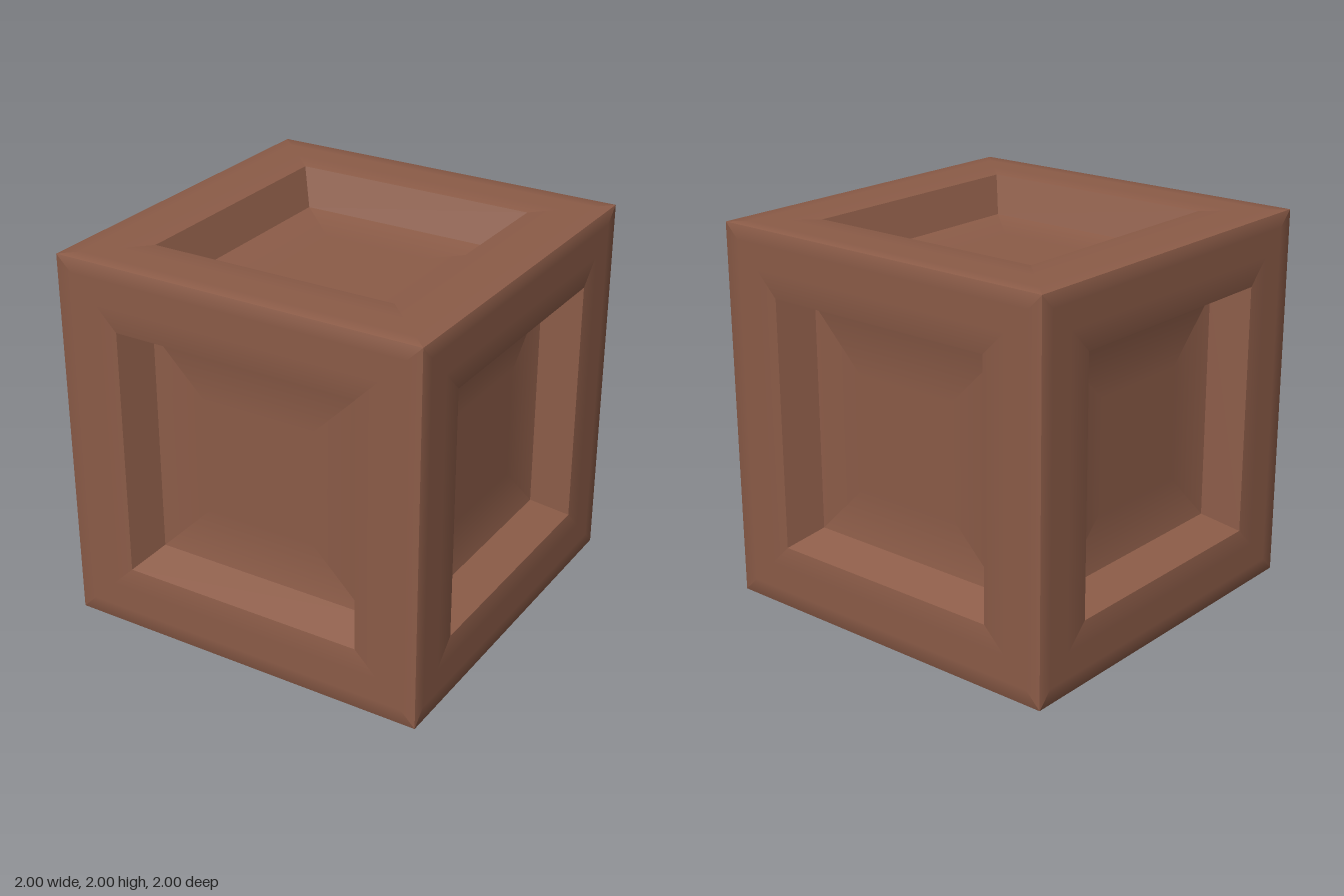
import * as THREE from 'three';

// Four mitred strips between concentric square rings, facing +z.
// Each ring is [half size, z, outward tilt of the normal, forward part of the normal].
function squareRings(rings) {
  const pos = [], nor = [], idx = [];
  for (let side = 0; side < 4; side++) {
    const c = [1, 0, -1, 0][side], s = [0, 1, 0, -1][side];
    const put = (x, y, z, target) => target.push(x * c - y * s, x * s + y * c, z);
    const start = pos.length / 3;
    for (const [h, z, tilt, forward] of rings) {
      const len = Math.hypot(tilt, forward);
      for (const sign of [-1, 1]) {
        put(sign * h, h, z, pos);
        put(0, tilt / len, forward / len, nor);
      }
    }
    for (let i = 0; i < rings.length - 1; i++) {
      const a = start + i * 2;              // outer left, outer right, inner left, inner right
      idx.push(a + 2, a + 1, a);
      if (rings[i + 1][0] > 0) idx.push(a + 2, a + 3, a + 1);
    }
  }
  const g = new THREE.BufferGeometry();
  g.setAttribute('position', new THREE.Float32BufferAttribute(pos, 3));
  g.setAttribute('normal', new THREE.Float32BufferAttribute(nor, 3));
  g.setIndex(idx);
  return g;
}

export function createModel() {
  const crate = new THREE.Group();
  crate.name = 'crate';
  const wood = new THREE.MeshStandardMaterial({ color: 0x8c5c48 });
  wood.name = 'brown wood';

  const OPEN = 0.665, FLOOR = 0.6, DEPTH = 0.8;   // recess opening, panel size, panel plane
  const parts = {
    // flat border with softly shaded edges
    frame: squareRings([[1, 1, 0.3, 1], [0.92, 1, 0, 1], [0.79, 1, 0, 1], [OPEN, 1, -0.15, 1]]),
    // sloping recess walls
    recessWalls: squareRings([[OPEN, 1, -0.2, 0.08], [FLOOR, DEPTH, -0.2, 0.08]]),
    // sunken panel
    panel: squareRings([[FLOOR, DEPTH, -0.2, 1], [0.3, DEPTH, 0, 1], [0, DEPTH, 0, 1]]),
  };
  const base = squareRings([[1, 1, 0.2, 1], [0.5, 1, 0, 1], [0, 1, 0, 1]]);

  const addSide = (name, geometries, rx, ry) => {
    const side = new THREE.Group();
    side.name = name;
    for (const [part, geometry] of Object.entries(geometries)) {
      const mesh = new THREE.Mesh(geometry, wood);
      mesh.name = part;
      side.add(mesh);
    }
    side.rotation.set(rx, ry, 0);
    side.position.y = 1;
    crate.add(side);
  };

  // Four walls and lid are panelled, the underside is plain
  ['frontSide', 'leftSide', 'backSide', 'rightSide'].forEach((name, i) =>
    addSide(name, parts, 0, i * Math.PI / 2));
  addSide('topSide', parts, -Math.PI / 2, 0);
  addSide('bottomSide', { base }, Math.PI / 2, 0);
  return crate;
}
